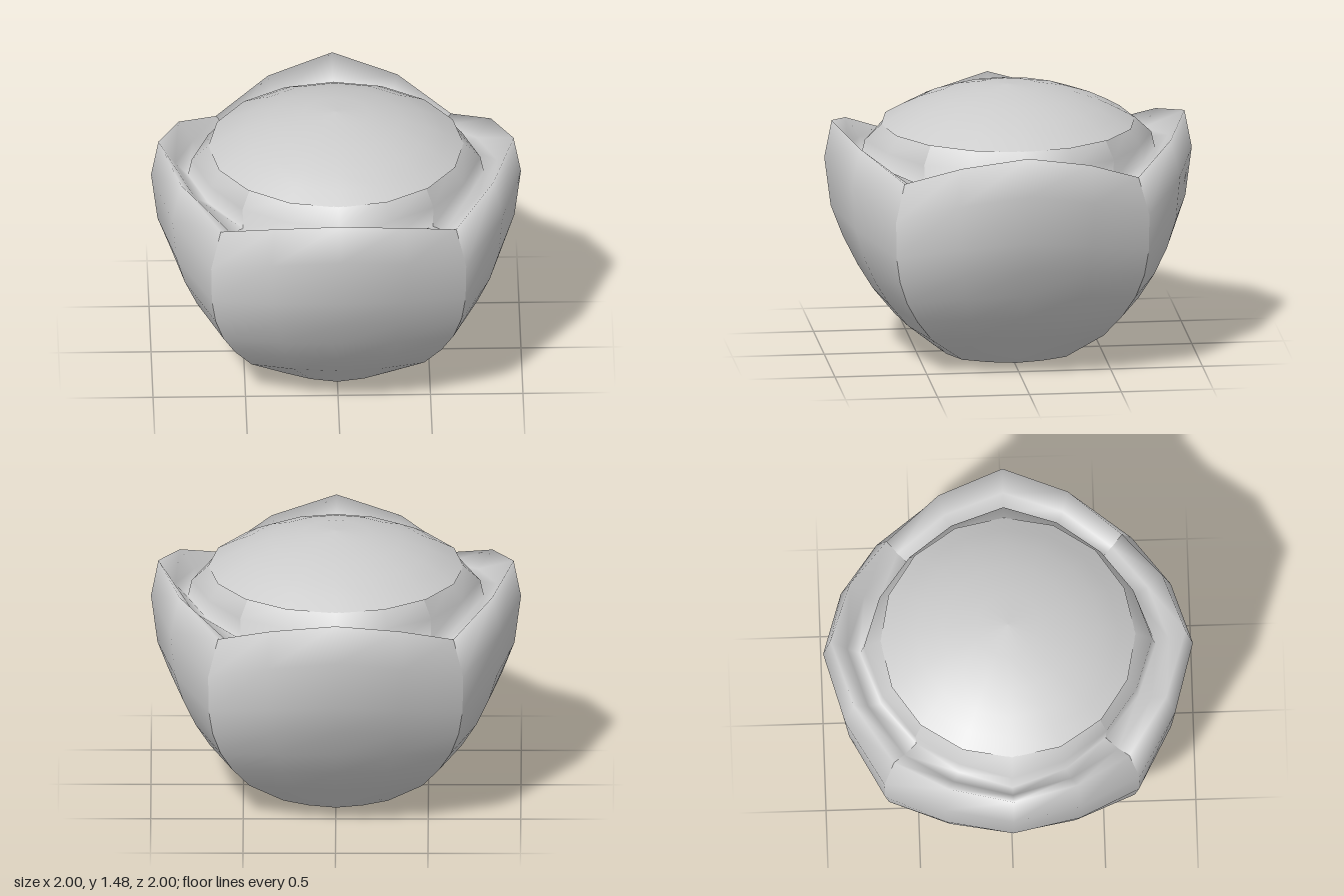
import * as THREE from 'three';

// Quarter surface around one petal axis: [radius, y] profiles on the axis and on the seams beside it
function petalGeometry(axis, seam) {
  const pos = [], idx = [];
  const cols = 5;
  axis.forEach(([ra, ya], i) => {
    const [rs, ys] = seam[i];
    for (let j = 0; j < cols; j++) {
      const k = Math.abs(j - 2); // 0 = petal axis, 2 = seam
      const w = [0, 0.37, 1][k];
      const r = THREE.MathUtils.lerp(ra, rs, w) * (k === 1 ? 0.975 : 1);
      const a = ((j - 2) * Math.PI) / 8;
      pos.push(r * Math.sin(a), THREE.MathUtils.lerp(ya, ys, w), r * Math.cos(a));
    }
  });
  for (let i = 0; i < axis.length - 1; i++) {
    for (let j = 0; j < cols - 1; j++) {
      const a = i * cols + j, b = a + 1;
      idx.push(a, b, b + cols, a, b + cols, a + cols);
    }
  }
  const g = new THREE.BufferGeometry();
  g.setAttribute('position', new THREE.Float32BufferAttribute(pos, 3));
  g.setIndex(idx);
  g.computeVertexNormals();
  return g;
}

const lathe = (points, sides) =>
  new THREE.LatheGeometry(points.map(([r, y]) => new THREE.Vector2(r, y)), sides);

export function createModel() {
  const group = new THREE.Group();
  const mat = new THREE.MeshStandardMaterial({ color: 0xcccccc, side: THREE.DoubleSide });
  const add = (name, geometry, y = 0, turn = 0) => {
    const mesh = new THREE.Mesh(geometry, mat);
    mesh.name = name;
    mesh.position.y = y;
    mesh.rotation.y = turn;
    group.add(mesh);
  };

  // Petal: outer wall up to the rim, inner wall down to the valley, then the foot of the dome
  const petal = petalGeometry(
    [[0.385, 0.02], [0.62, 0.22], [0.735, 0.36], [0.82, 0.5], [0.9, 0.66], [0.965, 0.83], [1, 1.1], [0.96, 1.305],
      [0.87, 1.17], [0.8, 1.1], [0.78, 1.19], [0.69, 1.275]],
    [[0.4, 0.02], [0.66, 0.18], [0.79, 0.31], [0.88, 0.43], [0.94, 0.56], [0.97, 0.7], [0.975, 0.9], [0.9, 1.1],
      [0.82, 1.06], [0.725, 1.05], [0.73, 1.17], [0.67, 1.275]]);

  // Thin spoke from the socket to the bottom of a seam
  const spoke = new THREE.BoxGeometry(0.32, 0.012, 0.014).translate(0.235, 0, 0);

  for (let i = 0; i < 4; i++) {
    const turn = (i * Math.PI) / 2;
    add('petal', petal, 0, turn);
    add('spoke', spoke, 0.026, turn + Math.PI / 4);
  }

  // Shallow dome between the petals
  add('dome', lathe([[0.69, 1.273], [0.6, 1.325], [0.5, 1.375], [0.36, 1.425], [0.18, 1.467], [0, 1.48]], 16));

  // Collar and tapered socket in the bottom opening
  add('socketCollar', new THREE.TorusGeometry(0.075, 0.012, 8, 24).rotateX(Math.PI / 2), 0.03);
  add('socket', lathe([[0, 0], [0.04, 0.005], [0.065, 0.02], [0.077, 0.04], [0.072, 0.15], [0.06, 0.24],
    [0.04, 0.28], [0, 0.29]], 24));
  return group;
}
